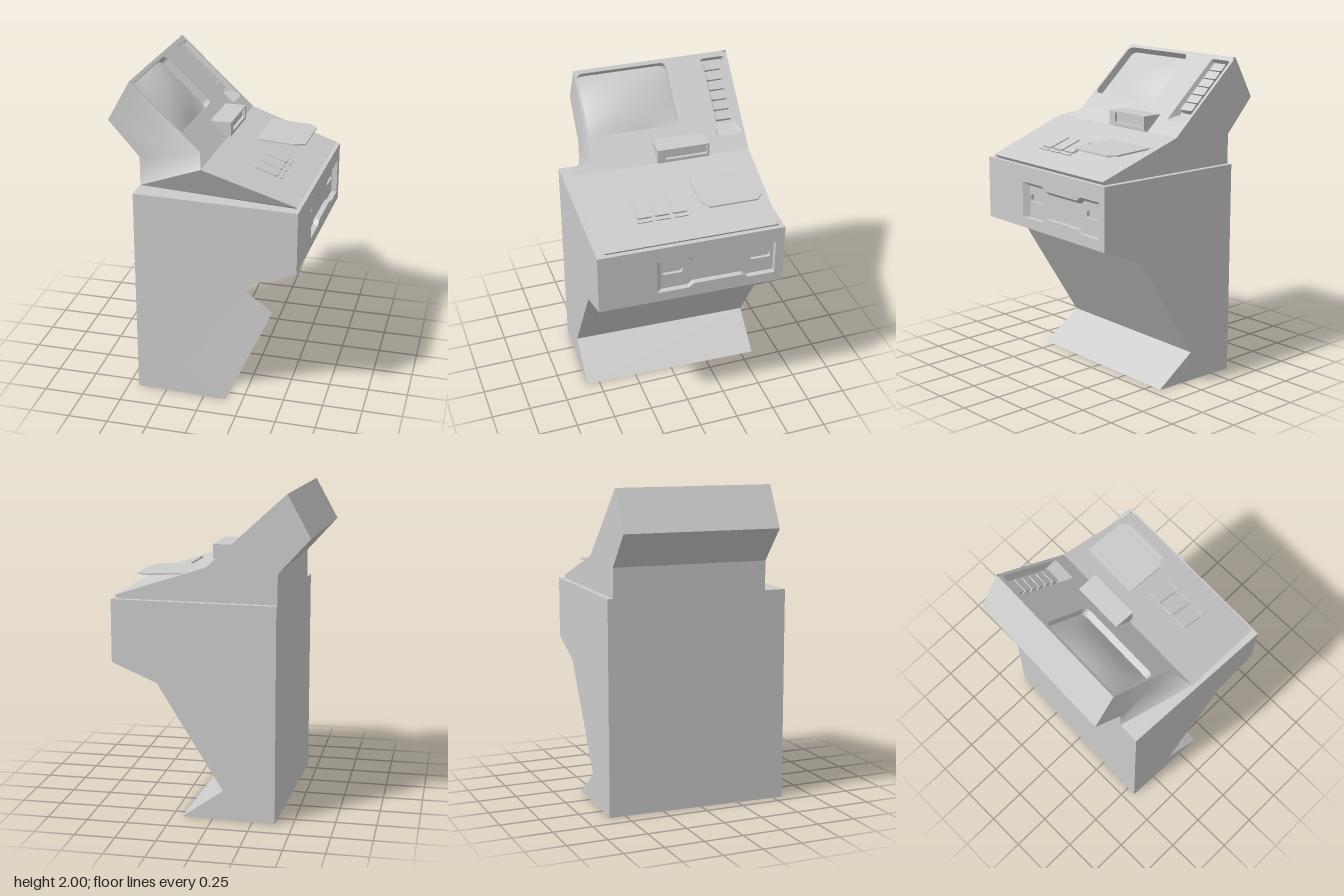
import * as THREE from 'three';

const V2 = (x, y) => new THREE.Vector2(x, y);
const mat = new THREE.MeshStandardMaterial({ color: 0xcccccc, side: THREE.DoubleSide });

function add(parent, name, geo) {
  const m = new THREE.Mesh(geo, mat);
  m.name = name;
  parent.add(m);
  return m;
}

// Flat-shaded polygons, each a list of 3 or 4 corners [x, y, z]
function polys(list) {
  const pos = [];
  for (const p of list) for (let i = 1; i < p.length - 1; i++) pos.push(...p[0], ...p[i], ...p[i + 1]);
  const g = new THREE.BufferGeometry();
  g.setAttribute('position', new THREE.Float32BufferAttribute(pos, 3));
  g.computeVertexNormals();
  return g;
}

// Strips joining a profile at z0 to the same profile at z1
const strips = (pts, z0, z1) => pts.slice(1).map((b, i) => {
  const a = pts[i];
  return [[...a, z0], [...a, z1], [...b, z1], [...b, z0]];
});

// Rounded rectangle as counter-clockwise points
function rr(u0, v0, u1, v1, r, n = 4) {
  const out = [];
  [[u1 - r, v1 - r], [u0 + r, v1 - r], [u0 + r, v0 + r], [u1 - r, v0 + r]].forEach(([u, v], k) => {
    for (let i = 0; i <= n; i++) {
      const t = (k + i / n) * Math.PI / 2;
      out.push(V2(u + r * Math.cos(t), v + r * Math.sin(t)));
    }
  });
  return out;
}

function sheet(pts, holes = []) {
  const s = new THREE.Shape(pts);
  holes.forEach(h => s.holes.push(new THREE.Path(h)));
  return new THREE.ShapeGeometry(s);
}

// Raised pad standing on depth z
function pad(parent, name, pts, h, z = 0) {
  add(parent, name, new THREE.ExtrudeGeometry(new THREE.Shape(pts), { depth: h, bevelEnabled: false })).position.z = z;
}

// Sunken pocket; the floor outline may be narrower than the rim
function pocket(parent, name, rim, depth, { shrink = p => p, floor = true, holes = [], z = 0 } = {}) {
  const low = rim.map(shrink), n = rim.length;
  add(parent, name + 'Walls', polys(rim.map((a, i) => {
    const j = (i + 1) % n, b = rim[j];
    return [[b.x, b.y, z], [a.x, a.y, z], [low[i].x, low[i].y, z - depth], [low[j].x, low[j].y, z - depth]];
  })));
  if (floor) add(parent, name + 'Floor', sheet(low, holes)).position.z = z - depth;
}

// Working plane: u runs to -z, v runs up the slope, w points outward
function plane(parent, name, x, y, nx, ny) {
  const g = new THREE.Group();
  g.name = name;
  const l = Math.hypot(nx, ny);
  nx /= l; ny /= l;
  g.quaternion.setFromRotationMatrix(new THREE.Matrix4().makeBasis(
    new THREE.Vector3(0, 0, -1), new THREE.Vector3(-ny, nx, 0), new THREE.Vector3(nx, ny, 0)));
  g.position.set(x, y, 0);
  parent.add(g);
  return g;
}

function buildCabinet(root) {
  const g = new THREE.Group();
  g.name = 'cabinet';
  root.add(g);
  const z0 = -0.585, z1 = 0.577, X = 0.605;
  const prof = [[X, 0.955], [0.322, 0.84], [-0.09, 0.185], [0.167, 0], [-0.413, 0], [-0.413, 1.345], [X, 1.345]];
  add(g, 'cabinetShell', polys(strips(prof, z0, z1)));
  for (const z of [z0, z1]) {
    const geo = sheet(prof.map(p => V2(...p)));
    if (z < 0) geo.rotateY(Math.PI).scale(-1, 1, 1);
    add(g, 'cabinetSide', geo).position.z = z;
  }
  // Front with the bone-shaped bay and its two latch slots
  const f = plane(g, 'cabinetFront', X, 0, 1, 0);
  const top = [[0.53, 1.245], [0.36, 1.245], [0.325, 1.22], [0.015, 1.22], [-0.015, 1.245], [-0.215, 1.245]];
  const bay = [...top, ...top.map(([u, v]) => [u, 2.265 - v]).reverse()].map(p => V2(...p));
  const slots = [[-0.175, -0.045], [0.38, 0.51]].map(([a, b]) => rr(a, 1.12, b, 1.165, 0.015));
  add(f, 'frontPanel', sheet([V2(-z1, 0.955), V2(-z0, 0.955), V2(-z0, 1.345), V2(-z1, 1.345)], [bay]));
  pocket(f, 'bay', bay, 0.035, {
    shrink: p => V2(Math.max(p.x, -0.185), p.y > 1.13 ? p.y - 0.025 : p.y), holes: slots });
  slots.forEach(s => pocket(f, 'latchSlot', s, 0.02, { z: -0.035 }));
}

function buildHead(root) {
  const g = new THREE.Group();
  g.name = 'console';
  root.add(g);
  const r = -0.55, l = 0.44;
  const A = [-0.413, 1.345], B = [-0.413, 1.53], C = [-0.607, 1.745], D = [-0.465, 2];
  const K = [0.02, 1.555], F = [0.59, 1.365], G = [0.575, 1.345];
  const T = [...K, 0.59], FL = [...F, 0.54], GL = [...G, 0.51];
  add(g, 'consoleBack', polys(strips([A, B, C, D], r, l)));
  add(g, 'frontLip', polys([[[...F, r], FL, GL, [...G, r]]]));
  add(g, 'rightSide', sheet([A, B, C, D, K, F, G].map(p => V2(...p)))).position.z = r;
  add(g, 'undercut', polys([[[...A, l], FL, T], [[...A, l], GL, FL]]));

  // Left side, smooth, flaring out to the tip of the fold
  const side = new THREE.BufferGeometry();
  side.setAttribute('position', new THREE.Float32BufferAttribute(
    [[-0.2, 1.57, 0.44], [...A, l], T, [-0.03, 1.601, l], [...D, l], [...C, l], [...B, l]].flat(), 3));
  side.setIndex([1, 2, 3, 4, 5, 6].flatMap(i => [0, i, i % 6 + 1]));
  side.computeVertexNormals();
  add(g, 'leftSide', side);

  // Upper sloping face: screen and key column
  const f = plane(g, 'upperFace', ...D, 0.445, 0.485);
  const end = -0.658;
  const screen = rr(-0.425, -0.435, 0.145, -0.025, 0.035);
  const keys = rr(0.37, -0.55, 0.53, -0.035, 0.02);
  add(f, 'upperPanel', sheet([V2(-l, 0), V2(0.52, 0), V2(0.541, -0.009), V2(0.55, -0.03),
    V2(0.55, end), V2(-0.59, end), V2(-l, -0.59)], [screen, keys]));
  pocket(f, 'screenFrame', screen, 0.05, { floor: false });
  const glass = new THREE.PlaneGeometry(0.57, 0.41, 16, 12);
  const p = glass.attributes.position;
  for (let i = 0; i < p.count; i++) {
    p.setZ(i, 0.035 * (1 - (p.getX(i) / 0.285) ** 2) * (1 - (p.getY(i) / 0.205) ** 2));
  }
  glass.computeVertexNormals();
  add(f, 'screen', glass).position.set(-0.14, -0.23, -0.05);
  pocket(f, 'keyColumn', keys, 0.05, {
    shrink: q => V2(Math.min(Math.max(q.x, 0.385), 0.515), Math.max(q.y, -0.455)) });
  for (let i = 0; i < 6; i++) {
    const v = -0.052 - i * 0.066;
    pad(f, 'sideKey', rr(0.395, v - 0.058, 0.495, v, 0.008, 2), 0.035, -0.05);
  }

  // Receipt hood: a wedge with an upright, open front
  const wedge = new THREE.Shape([V2(-0.09, 1.655), V2(0.02, 1.555), V2(0.025, 1.565), V2(0.025, 1.655)]);
  add(g, 'receiptHood', new THREE.ExtrudeGeometry(wedge, { depth: 0.33, bevelEnabled: false })).position.z = -0.285;
  const h = plane(g, 'receiptMouth', 0.025, 0, 1, 0);
  const rim = new THREE.Shape([V2(-0.045, 1.565), V2(0.285, 1.565), V2(0.285, 1.655), V2(-0.045, 1.655)]);
  rim.holes.push(new THREE.Path([V2(0.005, 1.585), V2(0.27, 1.585), V2(0.27, 1.645), V2(0.005, 1.645)]));
  add(h, 'mouthRim', new THREE.ExtrudeGeometry(rim, { depth: 0.02, bevelEnabled: false }));

  // Lower sloping desk: three keys with bars
  const d = plane(g, 'desk', ...K, 0.19, 0.57);
  add(d, 'deskPanel', sheet([V2(-0.59, 0), V2(-0.54, -0.601), V2(0.52, -0.601), V2(0.541, -0.592),
    V2(0.55, -0.57), V2(0.55, 0)]));
  for (let i = 0; i < 3; i++) {
    const u = 0.035 - i * 0.11;
    pad(d, 'deskKey', rr(u - 0.095, -0.4, u, -0.245, 0.012), 0.012);
    pad(d, 'deskBar', rr(u - 0.095, -0.43, u, -0.412, 0.008), 0.008);
  }

  // Thin ledge standing out from the desk, almost level
  const t = plane(g, 'ledge', 0.15, 1.507, 0.05, 1);
  pad(t, 'ledgePlate', [V2(0.11, 0), V2(0.11, -0.26), V2(0.15, -0.325), V2(0.45, -0.325),
    V2(0.49, -0.28), V2(0.49, 0)], 0.01, -0.01);
}

export function createModel() {
  const model = new THREE.Group();
  model.name = 'serviceTerminal';
  buildCabinet(model);
  buildHead(model);
  model.rotation.y = -0.04;
  const root = new THREE.Group();
  root.name = 'terminal';
  root.add(model);
  return root;
}
